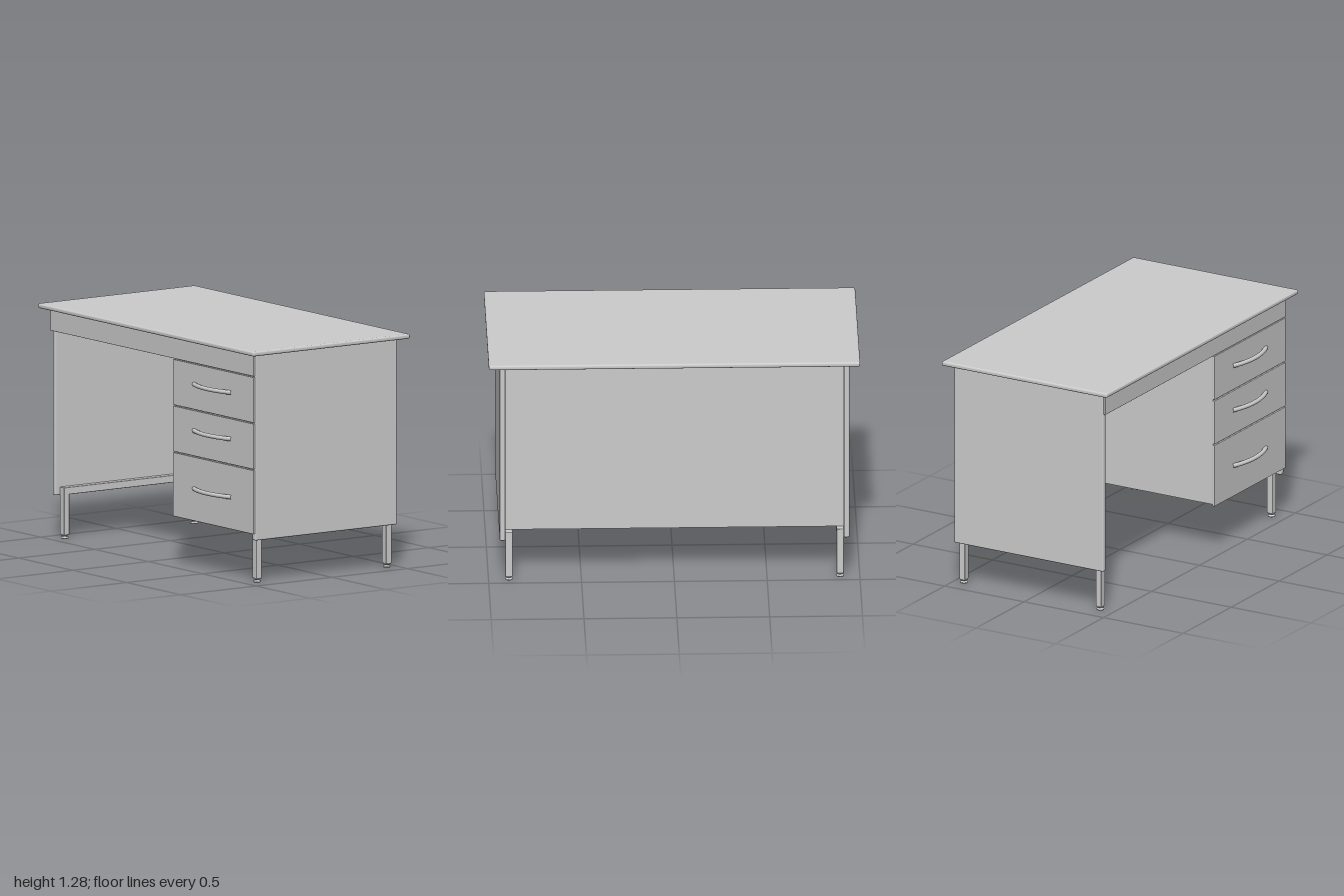
import * as THREE from 'three';
import { RoundedBoxGeometry } from 'three/addons/geometries/RoundedBoxGeometry.js';

export function createModel() {
  const desk = new THREE.Group();
  desk.name = 'desk';
  const grey = new THREE.MeshStandardMaterial({ color: 0xcccccc });

  const add = (name, geometry, parent = desk) => {
    const mesh = new THREE.Mesh(geometry, grey);
    mesh.name = name;
    parent.add(mesh);
    return mesh;
  };
  // Box given by its min and max on each axis, with optional rounded edges
  const box = (name, [x0, x1], [y0, y1], [z0, z1], radius = 0, parent = desk) => {
    const size = [x1 - x0, y1 - y0, z1 - z0];
    const geometry = radius
      ? new RoundedBoxGeometry(...size, 3, radius)
      : new THREE.BoxGeometry(...size);
    add(name, geometry, parent).position.set((x0 + x1) / 2, (y0 + y1) / 2, (z0 + z1) / 2);
  };

  // Worktop and panels
  box('worktop', [-1, 1], [1.252, 1.278], [-0.52, 0.52], 0.01);
  box('rightSidePanel', [-0.943, -0.913], [0.235, 1.25], [-0.475, 0.463], 0.008);
  box('leftSidePanel', [0.91, 0.94], [0.235, 1.25], [-0.475, 0.463], 0.008);
  box('backPanel', [-0.914, 0.911], [0.28, 1.252], [-0.42, -0.39]);
  box('frontApron', [-0.943, 0.94], [1.133, 1.248], [0.464, 0.476], 0.002);

  // Drawer pedestal
  box('drawerPedestal', [0.2, 0.911], [0.28, 1.252], [-0.391, 0.463]);

  // Drawer fronts with bowed handles
  const drawers = [
    { y: [0.272, 0.62], handle: 0.447 },
    { y: [0.626, 0.874], handle: 0.764 },
    { y: [0.88, 1.128], handle: 1.017 },
  ];
  const bow = new THREE.QuadraticBezierCurve3(
    new THREE.Vector3(0.385, 0, 0.474),
    new THREE.Vector3(0.56, 0, 0.544),
    new THREE.Vector3(0.735, 0, 0.474),
  );
  for (const { y, handle } of drawers) {
    const drawer = new THREE.Group();
    drawer.name = 'drawer';
    desk.add(drawer);
    box('drawerFront', [0.195, 0.94], y, [0.464, 0.476], 0.002, drawer);
    add('drawerHandle', new THREE.TubeGeometry(bow, 24, 0.012, 12), drawer).position.y = handle;
  }

  // Leg frames: a rail under each side with two legs and levelling feet
  const footProfile = [[0, 0], [0.02, 0], [0.021, 0.007], [0.011, 0.01], [0.011, 0.014],
    [0.019, 0.016], [0.019, 0.022], [0, 0.022]].map(([r, y]) => new THREE.Vector2(r, y));
  const footGeometry = new THREE.LatheGeometry(footProfile, 20);
  for (const x of [-0.894, 0.89]) {
    const frame = new THREE.Group();
    frame.name = 'legFrame';
    desk.add(frame);
    const span = [x - 0.02, x + 0.02];
    box('legRail', span, [0.24, 0.28], [-0.46, 0.434], 0.004, frame);
    for (const z of [-0.442, 0.416]) {
      box('leg', span, [0.02, 0.278], [z - 0.018, z + 0.018], 0.004, frame);
      add('foot', footGeometry, frame).position.set(x, 0, z);
    }
  }
  return desk;
}
